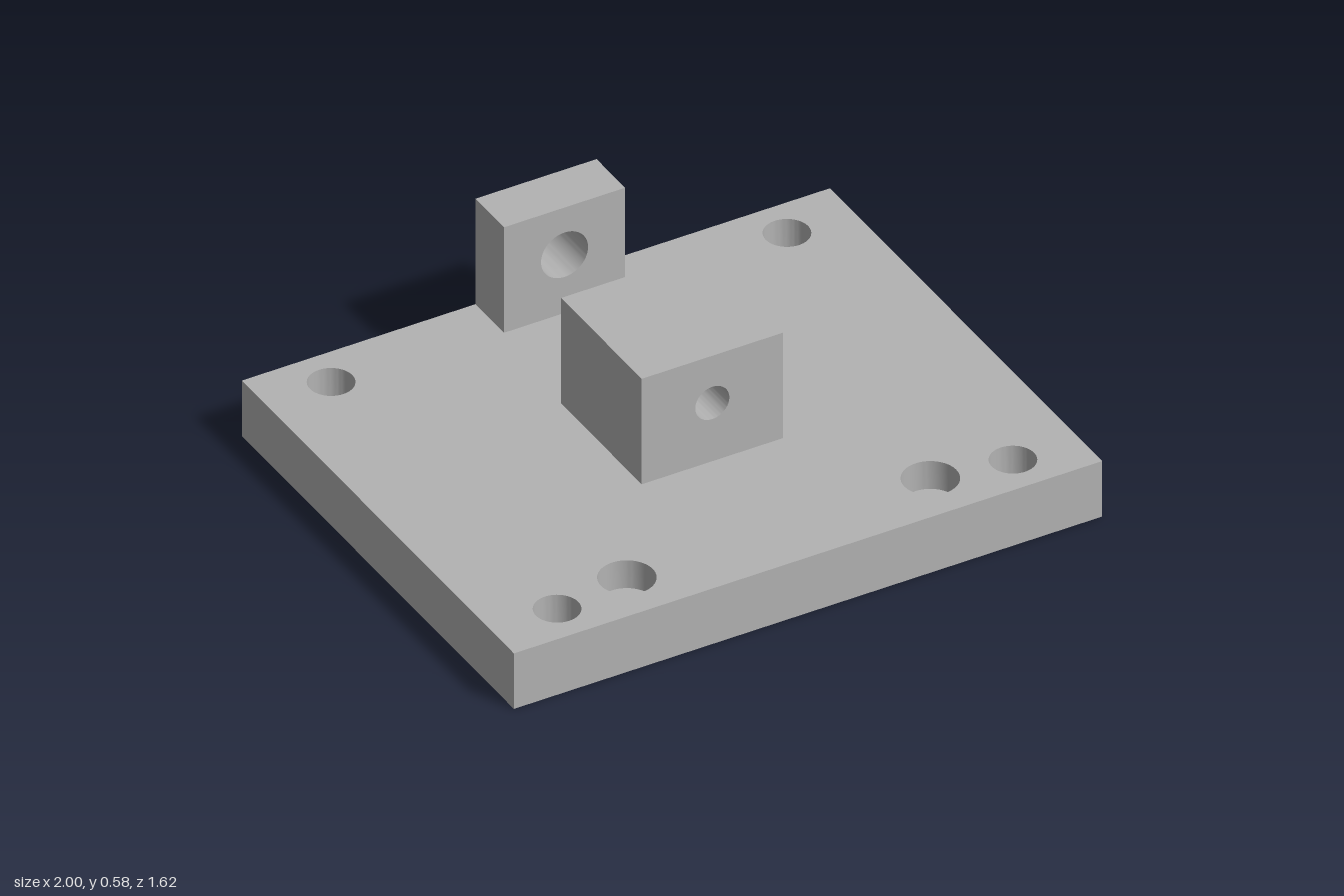
import * as THREE from 'three';
import { toCreasedNormals } from 'three/addons/utils/BufferGeometryUtils.js';

const rectPoints = (x0, y0, x1, y1) =>
  [[x0, y0], [x1, y0], [x1, y1], [x0, y1]].map(([x, y]) => new THREE.Vector2(x, y));

const circle = (x, y, r) => new THREE.Path().absarc(x, y, r, 0, Math.PI * 2, true);

// Rectangle with cut-outs, extruded along +z
function pierced(x0, y0, x1, y1, holes, depth) {
  const shape = new THREE.Shape(rectPoints(x0, y0, x1, y1));
  shape.holes.push(...holes);
  const geometry = new THREE.ExtrudeGeometry(shape, { depth, bevelEnabled: false, curveSegments: 32 });
  return toCreasedNormals(geometry, 0.6);
}

export function createModel() {
  const model = new THREE.Group();
  const grey = new THREE.MeshStandardMaterial({ color: 0xb3b3b3 });
  const add = (name, geometry) => {
    const mesh = new THREE.Mesh(geometry, grey);
    mesh.name = name;
    model.add(mesh);
  };

  const W = 1, D = 0.81, plateTop = 0.2, pocketDepth = 0.1;

  // Four mounting holes run through both layers of the plate
  const mountingHoles = () => [-1, 1].flatMap(sx =>
    [-1, 1].map(sy => circle(sx * 0.775, sy * 0.673, 0.072)));

  // Lower layer: row of four rectangular pockets open underneath
  const pockets = [-1.5, -0.5, 0.5, 1.5].map(i => {
    const x = i * 0.388;
    return new THREE.Path(rectPoints(x - 0.175, -0.258, x + 0.175, 0.258));
  });
  add('plateLowerLayer', pierced(-W, -D, W, D, [...mountingHoles(), ...pockets], pocketDepth)
    .rotateX(-Math.PI / 2));

  // Upper layer: two blind round recesses near the front edge
  const recesses = [-1, 1].map(s => circle(s * 0.516, -0.635, 0.088));
  add('plateUpperLayer', pierced(-W, -D, W, D, [...mountingHoles(), ...recesses], plateTop - pocketDepth)
    .rotateX(-Math.PI / 2).translate(0, pocketDepth, 0));

  // Centre block and rear tab, each bored from front to back
  add('centreBlock', pierced(-0.24, plateTop, 0.24, 0.58, [circle(0, 0.41, 0.058)], 0.48)
    .translate(0, 0, -0.24));
  add('rearTab', pierced(-0.206, plateTop, 0.206, 0.58, [circle(0, 0.41, 0.08)], 0.17)
    .translate(0, 0, -D));

  return model;
}
